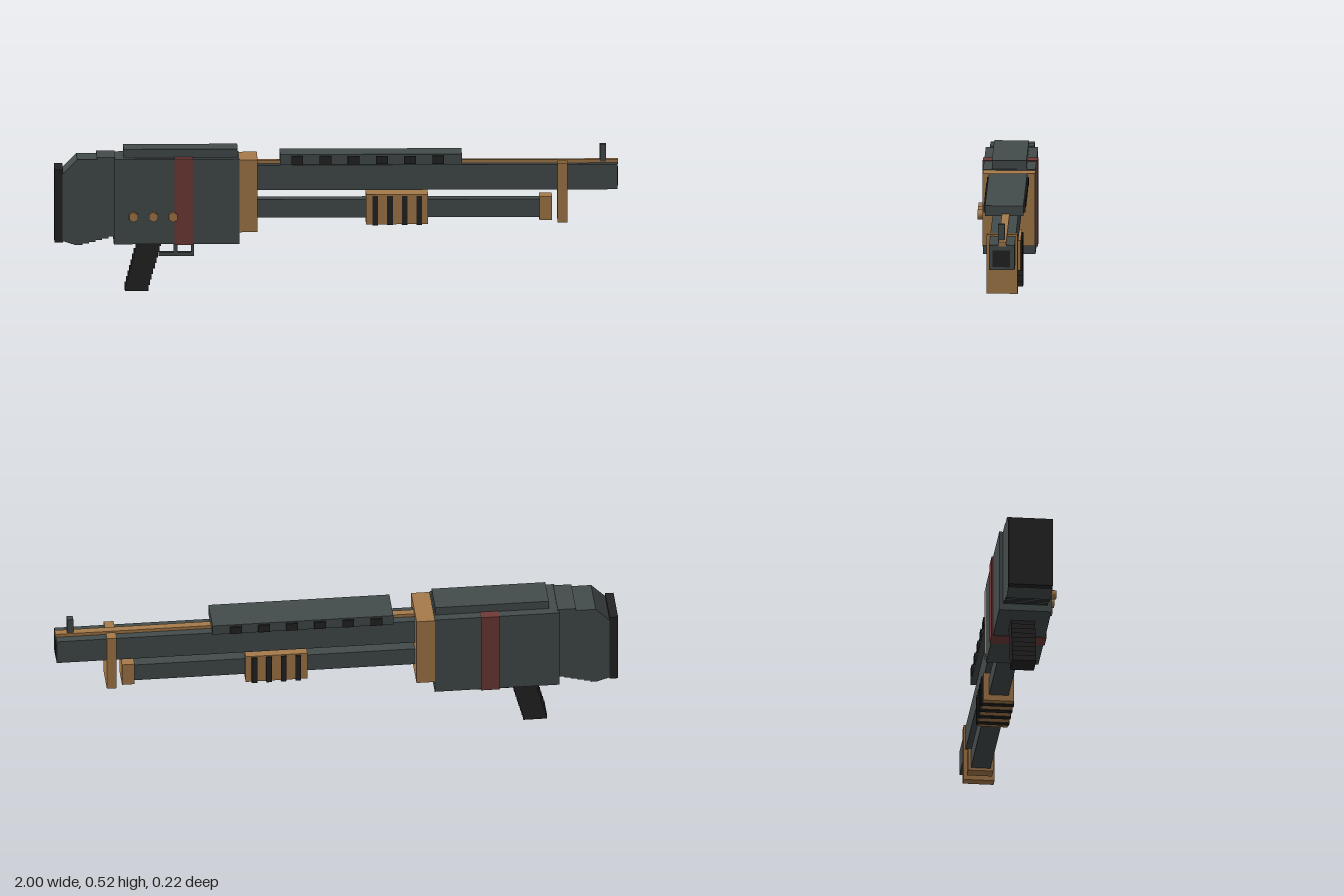
import * as THREE from 'three';

const mat = (name, color) => Object.assign(new THREE.MeshStandardMaterial({ color }), { name });

export function createModel() {
  const group = new THREE.Group();
  const steel = mat('gunmetal', 0x444b4b);
  const brass = mat('bronze', 0xa67a4a);
  const red = mat('dark red', 0x703b37);
  const black = mat('black', 0x232323);

  const add = (name, geometry, material) => {
    const mesh = new THREE.Mesh(geometry, material);
    mesh.name = name;
    group.add(mesh);
    return mesh;
  };
  // Box given by its limits on each axis
  const box = (name, material, x0, x1, y0, y1, z0, z1) => {
    const mesh = add(name, new THREE.BoxGeometry(x1 - x0, y1 - y0, z1 - z0), material);
    mesh.position.set((x0 + x1) / 2, (y0 + y1) / 2, (z0 + z1) / 2);
    return mesh;
  };
  // Side profile extruded across the width
  const slab = (name, material, points, z0, z1) => {
    const shape = new THREE.Shape(points.map(([x, y]) => new THREE.Vector2(x, y)));
    const geometry = new THREE.ExtrudeGeometry(shape, { depth: z1 - z0, bevelEnabled: false });
    return add(name, geometry.translate(0, 0, z0), material);
  };

  // Receiver with its wraparound band, cover and collar
  box('receiver', steel, -0.79, -0.345, 0.175, 0.48, -0.102, 0.084);
  box('receiverBand', red, -0.575, -0.51, 0.173, 0.482, -0.107, 0.089);
  box('topCover', steel, -0.755, -0.35, 0.478, 0.511, -0.07, 0.053);
  box('collar', brass, -0.345, -0.28, 0.217, 0.477, -0.102, 0.084);
  for (const x of [-0.72, -0.65, -0.58]) {
    const knob = add('sideKnob', new THREE.CylinderGeometry(0.018, 0.018, 0.028, 6), brass);
    knob.rotation.x = Math.PI / 2;
    knob.position.set(x, 0.275, 0.094);
  }

  // Stock with a stepped underside and butt pad
  const stock = [[-0.785, 0.485], [-0.85, 0.485], [-0.85, 0.477], [-0.92, 0.477], [-0.972, 0.425], [-0.972, 0.185], [-0.925, 0.17]];
  for (let i = 0; i < 6; i++) {
    const x = -0.925 + i * 0.0233;
    const y = 0.17 + i * 0.006;
    stock.push([x + 0.0233, y], [x + 0.0233, y + 0.006]);
  }
  slab('stock', steel, stock, -0.088, 0.069);
  box('buttPad', black, -1, -0.97, 0.18, 0.44, -0.09, 0.067);

  // Grip built of stepped layers
  const layers = 9;
  for (let i = 0; i < layers; i++) {
    const x = -0.75 + i * 0.0055;
    box('gripLayer', black, x, x + 0.084, i * 0.02, (i + 1) * 0.02, -0.051, 0.034);
  }

  // Trigger and guard
  box('guardBar', steel, -0.63, -0.505, 0.12, 0.134, -0.021, 0.003);
  box('guardPost', steel, -0.515, -0.505, 0.12, 0.18, -0.021, 0.003);
  box('trigger', steel, -0.577, -0.563, 0.13, 0.18, -0.019, 0.001);

  // Barrel, muzzle, rib and front sight
  box('barrel', steel, -0.3, 0.998, 0.36, 0.45, -0.057, 0.034);
  box('muzzleBore', black, 0.995, 1, 0.371, 0.431, -0.04, 0.022);
  box('barrelRib', brass, -0.3, 1, 0.445, 0.462, -0.027, 0);
  box('frontSight', steel, 0.935, 0.957, 0.455, 0.517, -0.021, 0.003);

  // Lower tube, end cap and barrel clamp
  box('magazineTube', steel, -0.3, 0.725, 0.26, 0.325, -0.045, 0.025);
  box('tubeCap', brass, 0.72, 0.765, 0.25, 0.335, -0.055, 0.035);
  box('barrelClamp', brass, 0.785, 0.82, 0.243, 0.456, -0.064, 0.046);

  // Sliding fore-end with dark grooves
  box('foreEnd', brass, 0.105, 0.325, 0.238, 0.345, -0.064, 0.044);
  for (let i = 0; i < 4; i++) {
    const x = 0.128 + i * 0.052;
    box('foreEndGroove', black, x, x + 0.02, 0.235, 0.34, -0.07, 0.047);
  }

  // Accessory rail with side blocks
  box('rail', steel, -0.2, 0.445, 0.455, 0.492, -0.076, 0.06);
  for (let i = 0; i < 6; i++) {
    const x = -0.16 + i * 0.1;
    box('railBlock', black, x, x + 0.042, 0.457, 0.486, -0.082, 0.066);
  }
  return group;
}
